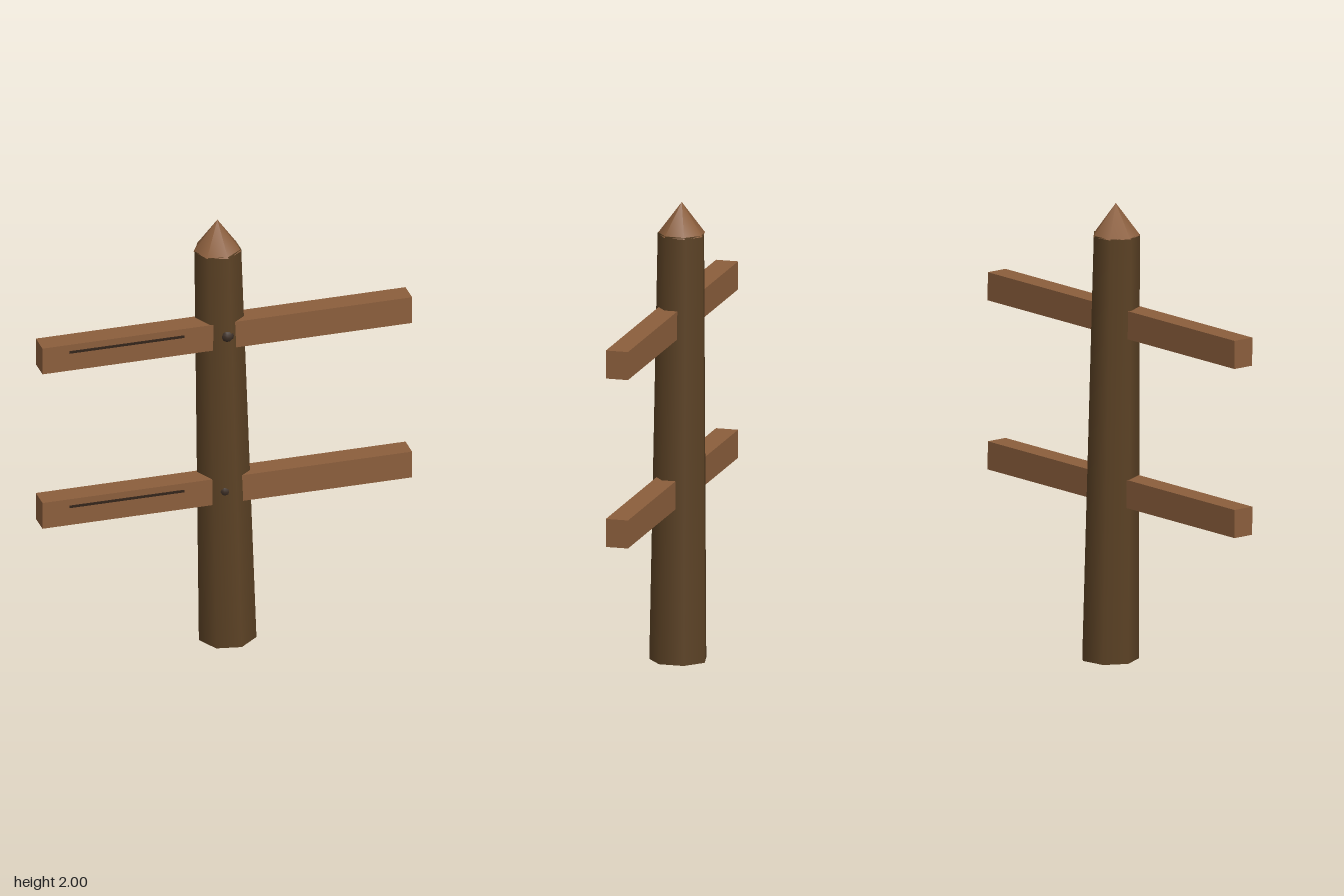
import * as THREE from 'three';

const mat = (name, color) => {
  const m = new THREE.MeshStandardMaterial({ color });
  m.name = name;
  return m;
};

export function createModel() {
  const model = new THREE.Group();
  model.name = 'fencePost';
  const bark = mat('darkBark', 0x5c4225);
  const wood = mat('cutWood', 0x8b5e3c);
  const iron = mat('darkNail', 0x3d2f26);
  const crack = mat('crackBrown', 0x33241a);

  const add = (name, geometry, material, x, y, z) => {
    const mesh = new THREE.Mesh(geometry, material);
    mesh.name = name;
    mesh.position.set(x, y, z);
    model.add(mesh);
    return mesh;
  };

  // Seven-sided tapered post, leaning slightly, one corner pointing to -x
  const postHeight = 1.862;
  const lean = 0.0233;
  const postGeo = new THREE.CylinderGeometry(0.1025, 0.126, postHeight, 7, 1, false, -Math.PI / 2);
  const post = add('post', postGeo, bark, 0.004, 0.003 + postHeight / 2, 0);
  post.rotation.z = lean;

  // Sharpened tip
  const tipGeo = new THREE.ConeGeometry(0.104, 0.14, 7, 1, false, -Math.PI / 2);
  const tip = add('tip', tipGeo, wood, -0.018, 1.93, 0);
  tip.rotation.y = -0.06;

  // Two rails, each with a crack along its front and a nail in the post
  const rails = [
    { y: 0.745, nailX: -0.01, nailZ: 0.08 },
    { y: 1.484, nailX: 0, nailZ: 0.084 },
  ];
  for (const { y, nailX, nailZ } of rails) {
    const rail = add('rail', new THREE.BoxGeometry(1.642, 0.123, 0.098), wood, 0, y, 0.038);
    rail.rotation.z = 0.001;
    add('crack', new THREE.BoxGeometry(0.51, 0.01, 0.008), crack, -0.447, y + 0.026, 0.088);
    add('nail', new THREE.SphereGeometry(0.03, 10, 8), iron, nailX, y + 0.002, nailZ);
  }
  return model;
}
